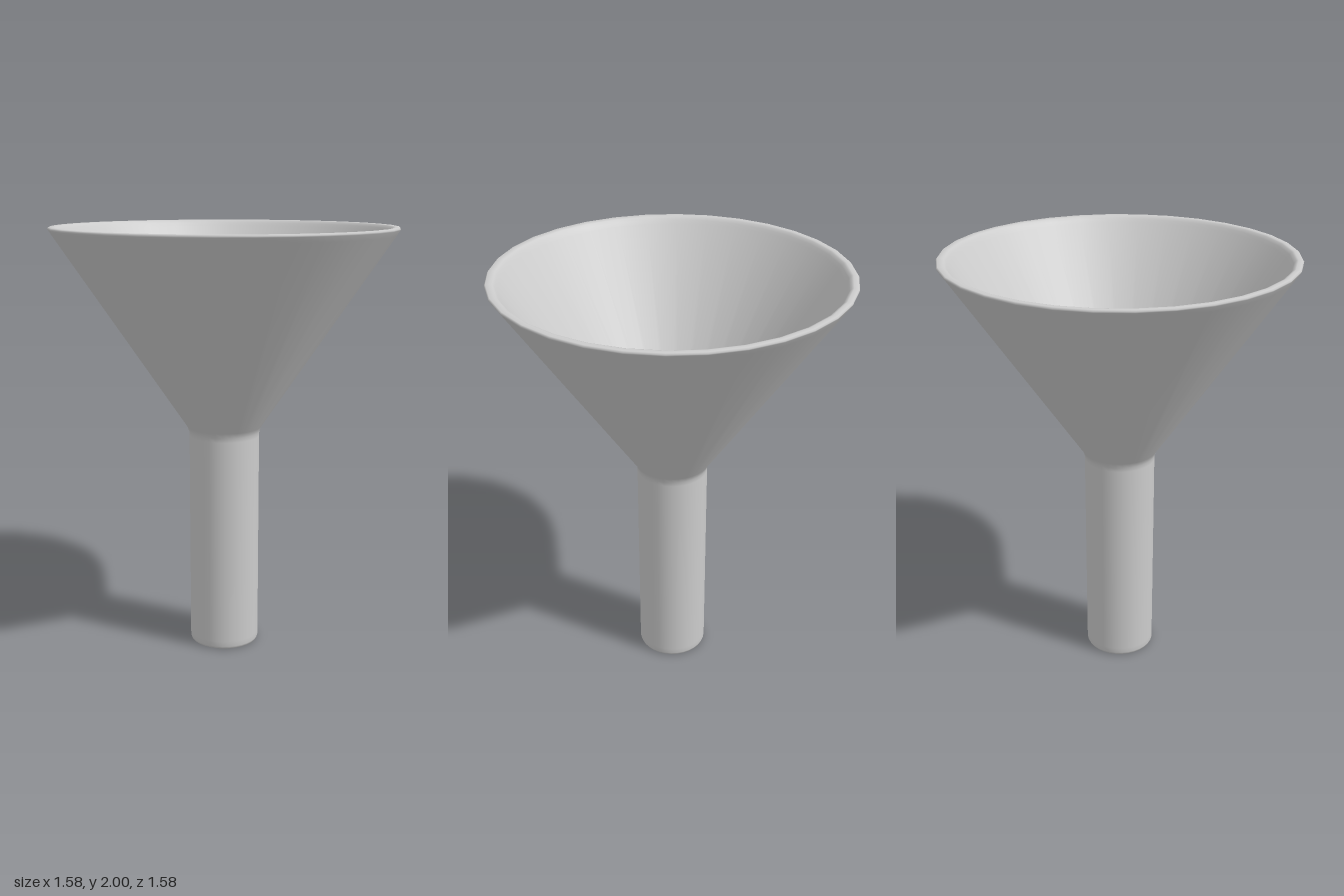
import * as THREE from 'three';

const SIDES = 32;

// Closed wall profile: up the outside, over the rim, back down the inside
const PROFILE = [
  [0.13, 0.5], [0.13, 0.02], [0.133, 0.007], [0.14, 0],
  [0.153, 0], [0.161, 0.004], [0.165, 0.015],
  [0.165, 0.04], [0.165, 1.03], [0.166, 1.05], [0.175, 1.075],
  [0.772, 1.965], [0.787, 1.988], [0.789, 1.994], [0.784, 2],
  [0.765, 2], [0.755, 1.997], [0.746, 1.985],
  [0.735, 1.97], [0.142, 1.085], [0.133, 1.066], [0.13, 1.04], [0.13, 0.5],
];

export function createModel() {
  const model = new THREE.Group();
  model.name = 'funnel';

  // Cone and spout are one continuous turned shell
  const points = PROFILE.map(([r, y]) => new THREE.Vector2(r, y));
  const shell = new THREE.Mesh(
    new THREE.LatheGeometry(points, SIDES),
    new THREE.MeshStandardMaterial({ color: 0xcccccc }),
  );
  shell.name = 'funnelShell';
  shell.rotation.y = -0.045;
  model.add(shell);

  return model;
}
